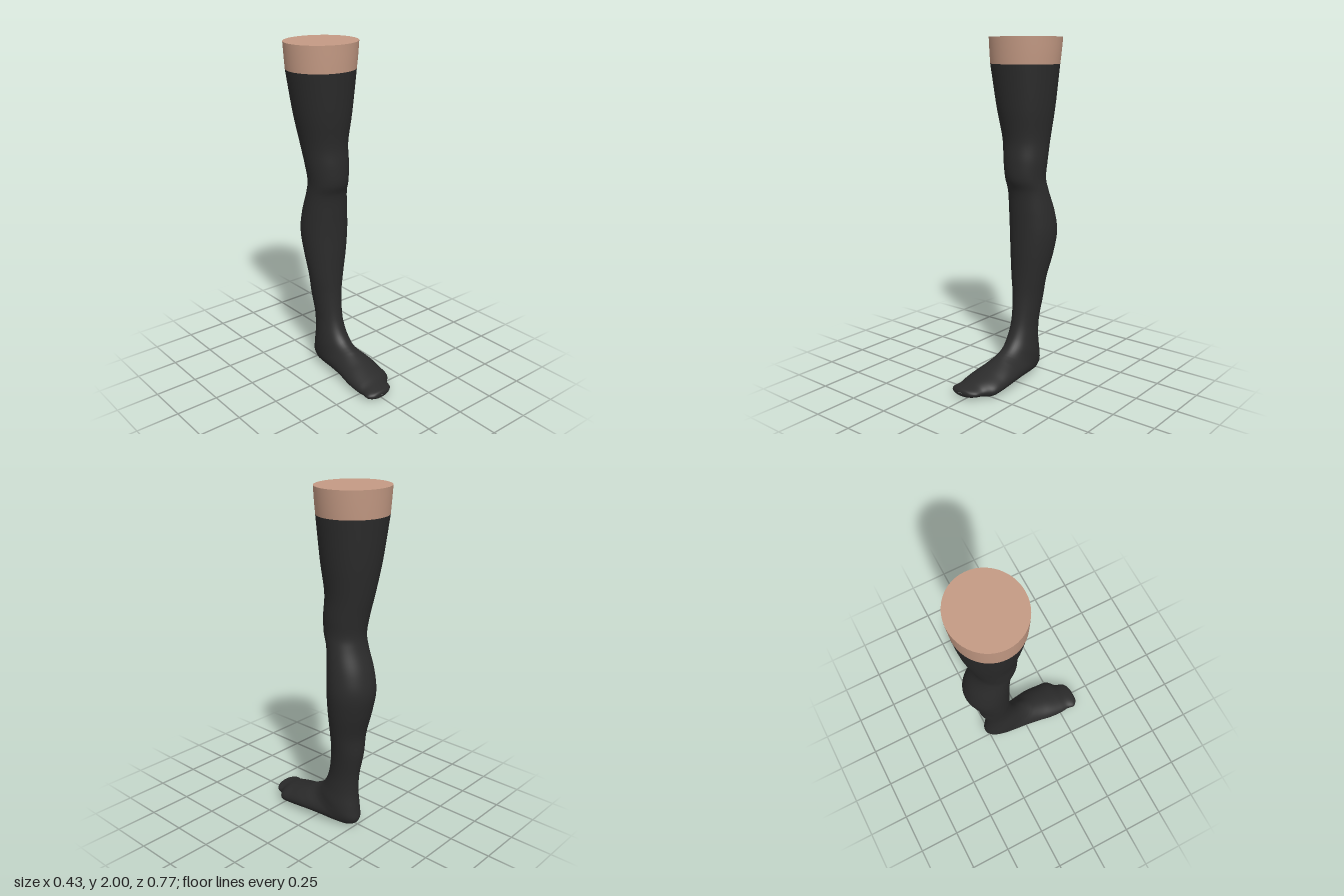
import * as THREE from 'three';

const skin = new THREE.MeshStandardMaterial({ color: 0xc49a84 });
skin.name = 'skin';
const stocking = new THREE.MeshStandardMaterial({ color: 0x2b2b2b });
stocking.name = 'stocking fabric';

const SIDES = 48;

// Section: [front z, front y, back z, back y, min x, max x, skew].
// Skew above 1 puts the widest place nearer the back or sole.
const bandSections = [
  [0.015, 2, -0.385, 2, -0.215, 0.215, 1],
  [0.012, 1.92, -0.38, 1.92, -0.21, 0.208, 1],
  [0.008, 1.85, -0.375, 1.85, -0.205, 0.2, 1],
];

const legSections = [
  [0.008, 1.85, -0.375, 1.85, -0.205, 0.2, 1],
  [-0.018, 1.6, -0.348, 1.6, -0.163, 0.174, 1],
  [-0.043, 1.42, -0.318, 1.42, -0.125, 0.15, 1],
  // knee
  [-0.036, 1.3, -0.293, 1.3, -0.108, 0.146, 1],
  [-0.041, 1.2, -0.28, 1.2, -0.095, 0.141, 1],
  [-0.068, 1.13, -0.291, 1.13, -0.095, 0.15, 1],
  // calf
  [-0.08, 1.0, -0.337, 1.0, -0.103, 0.171, 1],
  [-0.085, 0.88, -0.358, 0.88, -0.105, 0.18, 1],
  [-0.087, 0.75, -0.335, 0.75, -0.095, 0.165, 1],
  [-0.09, 0.6, -0.295, 0.6, -0.078, 0.134, 1],
  [-0.087, 0.48, -0.288, 0.48, -0.062, 0.113, 1],
];

const footSections = [
  // ankle and heel, the planes turning about the instep
  [-0.065, 0.33, -0.26, 0.33, -0.05, 0.098, 1],
  [-0.033, 0.25, -0.255, 0.22, -0.056, 0.102, 1],
  [0.0, 0.21, -0.268, 0.11, -0.063, 0.111, 1],
  [0.03, 0.19, -0.272, 0.05, -0.064, 0.112, 1],
  [0.055, 0.178, -0.24, 0.015, -0.066, 0.114, 1],
  [0.075, 0.169, -0.18, 0.009, -0.07, 0.12, 1.05],
  // arch and ball
  [0.1, 0.157, -0.06, 0.014, -0.077, 0.132, 1.15],
  [0.15, 0.137, 0.05, 0.018, -0.088, 0.143, 1.25],
  [0.2, 0.119, 0.16, 0.008, -0.1, 0.143, 1.3],
  [0.26, 0.098, 0.26, 0.001, -0.101, 0.135, 1.25],
  // toes
  [0.305, 0.08, 0.305, 0.004, -0.096, 0.092, 1.15],
  [0.35, 0.067, 0.35, 0.01, -0.102, 0.075, 1],
  [0.373, 0.06, 0.373, 0.017, -0.08, 0.045, 1],
  [0.381, 0.05, 0.381, 0.028, -0.06, 0.015, 1],
  [0.382, 0.041, 0.382, 0.039, -0.03, -0.01, 1],
];

// Smooth skin through elliptical sections
function loft(sections, stepsPerSpan) {
  const front = new THREE.CatmullRomCurve3(sections.map(s => new THREE.Vector3(s[4], s[1], s[0])));
  const back = new THREE.CatmullRomCurve3(sections.map(s => new THREE.Vector3(s[5], s[3], s[2])));
  const spans = sections.length - 1;
  const rows = spans * stepsPerSpan;
  const positions = [];
  const index = [];
  for (let i = 0; i <= rows; i++) {
    const t = i / rows;
    const a = front.getPoint(t);
    const b = back.getPoint(t);
    const k = Math.min(Math.floor(t * spans), spans - 1);
    const skew = THREE.MathUtils.lerp(sections[k][6], sections[k + 1][6], t * spans - k);
    for (let j = 0; j < SIDES; j++) {
      const angle = (j / SIDES) * Math.PI * 2;
      const u = Math.pow((1 + Math.cos(angle)) / 2, skew);
      positions.push(
        (a.x + b.x) / 2 + Math.sin(angle) * (b.x - a.x) / 2,
        THREE.MathUtils.lerp(b.y, a.y, u),
        THREE.MathUtils.lerp(b.z, a.z, u),
      );
      if (i < rows) {
        const p = i * SIDES + j;
        const q = i * SIDES + (j + 1) % SIDES;
        index.push(p, p + SIDES, q + SIDES, p, q + SIDES, q);
      }
    }
  }
  const geometry = new THREE.BufferGeometry();
  geometry.setAttribute('position', new THREE.Float32BufferAttribute(positions, 3));
  geometry.setIndex(index);
  geometry.computeVertexNormals();
  return geometry;
}

export function createModel() {
  const group = new THREE.Group();
  group.name = 'stockingLeg';
  const add = (name, geometry, material) => {
    const mesh = new THREE.Mesh(geometry, material);
    mesh.name = name;
    group.add(mesh);
    return mesh;
  };

  // Bare thigh with its flat top
  add('thighBand', loft(bandSections, 2), skin);
  const cap = add('thighTop', new THREE.CircleGeometry(1, SIDES), skin);
  cap.rotation.x = -Math.PI / 2;
  cap.scale.set(0.215, 0.2, 1);
  cap.position.set(0, 2, -0.185);

  // Stocking from thigh to toes in one skin
  add('stocking', loft([...legSections, ...footSections], 5), stocking);
  return group;
}
